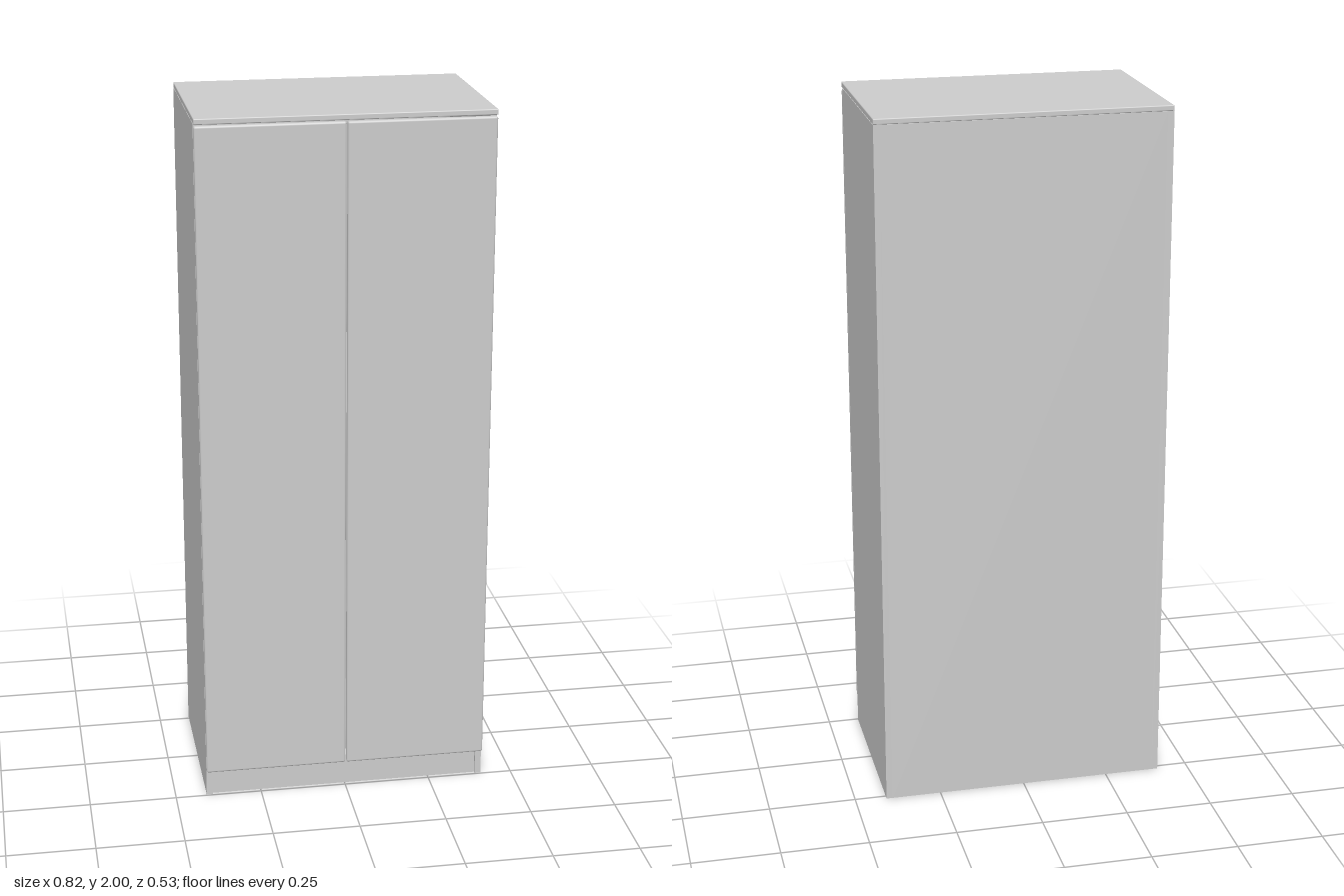
import * as THREE from 'three';
import { RoundedBoxGeometry } from 'three/addons/geometries/RoundedBoxGeometry.js';

export function createModel() {
  const group = new THREE.Group();
  const paint = new THREE.MeshStandardMaterial({ color: 0xcccccc });
  paint.name = 'lightGreyPaint';

  // Adds a board given its [min, max] extents; a radius rounds its edges
  function board(name, [x0, x1], [y0, y1], [z0, z1], radius = 0) {
    const size = [x1 - x0, y1 - y0, z1 - z0];
    const geometry = radius
      ? new RoundedBoxGeometry(...size, 2, radius)
      : new THREE.BoxGeometry(...size);
    const mesh = new THREE.Mesh(geometry, paint);
    mesh.name = name;
    mesh.position.set((x0 + x1) / 2, (y0 + y1) / 2, (z0 + z1) / 2);
    group.add(mesh);
  }

  const W = 0.41, D = 0.265, T = 0.018, carcassFront = 0.246;

  // Side panels and doors, mirrored
  for (const [side, s] of [['left', 1], ['right', -1]]) {
    const span = (a, b) => (s > 0 ? [a, b] : [-b, -a]);
    board(side + 'SidePanel', span(W - T, W), [0, 1.984], [-D, carcassFront]);
    board(side + 'Door', span(0.0015, W), [0.08, 1.98], [carcassFront + 0.001, D], 0.006);
  }

  // Carcass: top, back, raised floor and recessed plinth
  board('topPanel', [-W, W], [1.984, 2], [-D, D], 0.003);
  board('backPanel', [-W + T, W - T], [0, 1.984], [-D, -D + 0.012]);
  board('floorPanel', [-W + T, W - T], [0.078, 0.096], [-D + 0.012, carcassFront]);
  board('plinth', [-W + T, W - T], [0, 0.078], [0.222, 0.238]);

  return group;
}
